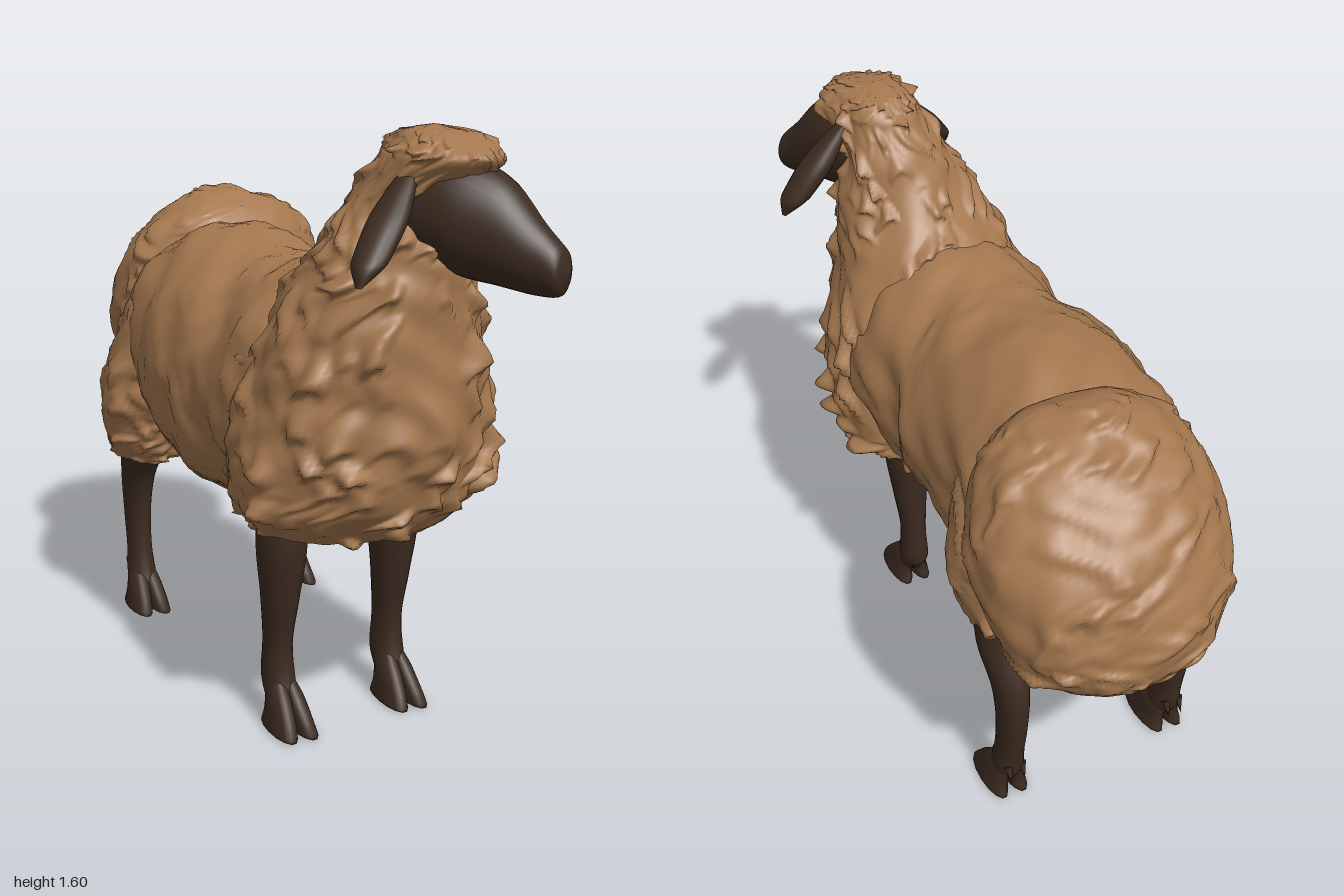
import * as THREE from 'three';

const wool = new THREE.MeshStandardMaterial({ color: 0xa5784f });
wool.name = 'brown wool';
const skin = new THREE.MeshStandardMaterial({ color: 0x3c2b20 });
skin.name = 'dark skin';

const DOWN = Math.PI / 2; // ring tilt for lofts that run downwards
const hash = (a, b, c = 0) => {
  const s = Math.sin(a * 127.1 + b * 311.7 + c * 74.7) * 43758.5453;
  return s - Math.floor(s);
};

// Irregular locks of wool, a few standing out, over broad soft lumps
const locks = (cols, rows, amp, lump, seed) => (u, v, p) => {
  const turn = u * Math.PI * 2;
  const cu = u * cols + cols + 0.5 * Math.sin(v * 19 + seed + Math.sin(turn * 2)) + 0.3 * Math.sin(v * 43 + turn * 3);
  const c = Math.floor(cu) % cols;
  const fu = cu - Math.floor(cu);
  const side = 1 - (2 * fu - 1) ** 2;
  const w = v * rows + hash(c, seed) * 5 + 0.4 * side + 0.5 * Math.sin(turn * 4 + seed);
  const r = Math.floor(w), f = w - r;
  const lock = (f < 0.8 ? f / 0.8 : (1 - f) / 0.2) * side * hash(c, r, seed) ** 2;
  const wave = Math.sin(p.x * 17 + seed) * Math.sin(p.y * 15 + 1) * Math.sin(p.z * 16 + 2)
    + 0.5 * Math.sin(p.x * 31 + p.y * 23 + seed) * Math.sin(p.z * 29 - p.y * 27);
  return amp * (lock - 0.15) * (0.5 + 0.7 * v) + lump * wave;
};

// Skin over elliptical rings [x, y, z, rx, r2], closed at both ends
function loft(name, material, rings, { tilt = DOWN, seg = 20, steps = 28, bump = null } = {}) {
  const centres = new THREE.CatmullRomCurve3(rings.map((r) => new THREE.Vector3(r[0], r[1], r[2])));
  const radii = new THREE.CatmullRomCurve3(rings.map((r) => new THREE.Vector3(r[3], r[4], 0)));
  const pos = [], index = [];
  const p = new THREE.Vector3();
  for (let i = 0; i <= steps; i++) {
    const v = i / steps;
    const c = centres.getPoint(v), r = radii.getPoint(v);
    for (let j = 0; j < seg; j++) {
      const a = (j / seg) * Math.PI * 2;
      const x = Math.cos(a), s = Math.sin(a);
      const rx = Math.max(r.x, 0.001), r2 = Math.max(r.y, 0.001);
      p.set(c.x + x * rx, c.y + s * r2 * Math.cos(tilt), c.z + s * r2 * Math.sin(tilt));
      if (bump) {
        const d = bump(j / seg, v, p) * Math.min(1, Math.min(rx, r2) / 0.08);
        p.x += x * d;
        p.y += s * d * Math.cos(tilt);
        p.z += s * d * Math.sin(tilt);
      }
      pos.push(p.x, p.y, p.z);
      if (i < steps) {
        const k = i * seg + j, n = i * seg + ((j + 1) % seg);
        index.push(k, n, n + seg, k, n + seg, k + seg);
      }
    }
  }
  const geo = new THREE.BufferGeometry();
  geo.setAttribute('position', new THREE.Float32BufferAttribute(pos, 3));
  geo.setIndex(index);
  geo.computeVertexNormals();
  const mesh = new THREE.Mesh(geo, material);
  mesh.name = name;
  return mesh;
}

// Leg from rings [y, z, rx, rz], ending in two toes and a pair of dewclaws
function leg(name, x, dz, rings, footZ) {
  const g = new THREE.Group();
  g.name = name;
  g.add(loft('shank', skin, rings.map(([y, z, rx, rz]) => [0, y, z, rx, rz])));
  for (const s of [-1, 1]) {
    g.add(loft('toe', skin, [
      [s * 0.014, 0.14, footZ - 0.05, 0.012, 0.02],
      [s * 0.019, 0.09, footZ - 0.025, 0.027, 0.055],
      [s * 0.025, 0.04, footZ, 0.03, 0.078],
      [s * 0.03, 0.004, footZ + 0.006, 0.031, 0.095],
      [s * 0.03, 0, footZ + 0.006, 0.001, 0.001],
    ], { seg: 14, steps: 16 }));
    const claw = new THREE.Mesh(new THREE.ConeGeometry(0.014, 0.05, 8), skin);
    claw.name = 'dewclaw';
    claw.position.set(s * 0.02, 0.11, footZ - 0.1);
    claw.rotation.x = Math.PI + 0.5;
    g.add(claw);
  }
  g.position.set(x, 0, dz);
  return g;
}

// Flat drooping ear between base and tip
function ear(name, base, tip) {
  const shape = [[0, 0.012, 0.02], [0.22, 0.034, 0.038], [0.5, 0.048, 0.052], [0.8, 0.042, 0.046], [1, 0.006, 0.012]];
  const rings = shape.map(([t, rx, rz]) => [...base.map((b, i) => b + (tip[i] - b) * t), rx, rz]);
  return loft(name, skin, rings, { seg: 16, steps: 20 });
}

export function createModel() {
  const model = new THREE.Group();
  model.name = 'sheep';

  // Barrel of the body
  model.add(loft('body', wool, [
    [0.02, 0.9, -0.7, 0.001, 0.001], [0.01, 0.9, -0.62, 0.18, 0.2], [-0.02, 0.9, -0.45, 0.29, 0.3],
    [-0.04, 0.86, -0.2, 0.325, 0.38], [-0.03, 0.845, 0, 0.325, 0.355], [-0.025, 0.85, 0.13, 0.3, 0.355],
    [-0.01, 0.87, 0.3, 0.315, 0.355], [0, 0.87, 0.52, 0.25, 0.28], [0, 0.87, 0.62, 0.001, 0.001],
  ], { tilt: 0, seg: 64, steps: 60, bump: locks(9, 6, 0.015, 0.014, 3) }));

  // Woolly crown, neck and chest in one fleece
  model.add(loft('neckAndChest', wool, [
    [0.08, 1.6, 0.65, 0.001, 0.001], [0.085, 1.58, 0.665, 0.09, 0.115], [0.08, 1.53, 0.68, 0.13, 0.178],
    [0.05, 1.42, 0.58, 0.15, 0.15], [0.03, 1.3, 0.57, 0.195, 0.195], [0.01, 1.19, 0.52, 0.24, 0.26],
    [0, 1, 0.475, 0.305, 0.31], [-0.01, 0.8, 0.45, 0.34, 0.32], [-0.01, 0.66, 0.42, 0.345, 0.305],
    [-0.01, 0.56, 0.4, 0.28, 0.235], [-0.01, 0.5, 0.39, 0.001, 0.001],
  ], { seg: 140, steps: 150, bump: locks(22, 17, 0.065, 0.012, 7) }));

  // Big round tail, leaning back
  const lean = 0.6, tail = [];
  for (let i = 0; i <= 14; i++) {
    const a = (i / 14) * Math.PI, h = 0.375 * Math.cos(a), s = Math.max(0, Math.sin(a)) ** 0.78;
    tail.push([0.065, 0.94 + h * Math.cos(lean), -0.685 + h * Math.sin(lean), 0.34 * s, 0.25 * s]);
  }
  model.add(loft('tail', wool, tail, {
    tilt: DOWN + lean, seg: 100, steps: 90, bump: locks(14, 9, 0.04, 0.01, 11),
  }));

  // Thighs
  for (const [name, x] of [['rightThigh', -0.265], ['leftThigh', 0.2]]) {
    const m = Math.sign(x);
    model.add(loft(name, wool, [
      [x - m * 0.1, 1.15, -0.36, 0.001, 0.001], [x - m * 0.05, 0.97, -0.39, 0.12, 0.17],
      [x, 0.75, -0.42, 0.14, 0.18], [x, 0.62, -0.45, 0.13, 0.165],
      [x, 0.52, -0.48, 0.1, 0.125], [x, 0.475, -0.475, 0.001, 0.001],
    ], { seg: 60, steps: 60, bump: locks(9, 6, 0.045, 0.012, 5 + m) }));
  }

  // Legs
  const fore = [[0.66, 0.38, 0.05, 0.06], [0.52, 0.38, 0.066, 0.08], [0.36, 0.37, 0.05, 0.064],
    [0.22, 0.355, 0.037, 0.054], [0.12, 0.36, 0.043, 0.06], [0.06, 0.39, 0.04, 0.05], [0.03, 0.4, 0.001, 0.001]];
  const hind = [[0.66, -0.46, 0.05, 0.08], [0.53, -0.505, 0.062, 0.09], [0.42, -0.56, 0.048, 0.075],
    [0.3, -0.573, 0.039, 0.062], [0.18, -0.56, 0.037, 0.054], [0.1, -0.545, 0.043, 0.056],
    [0.05, -0.52, 0.04, 0.05], [0.03, -0.51, 0.001, 0.001]];
  model.add(leg('rightForeleg', -0.205, 0.025, fore, 0.425));
  model.add(leg('leftForeleg', 0.145, -0.015, fore, 0.425));
  model.add(leg('rightHindLeg', -0.26, 0.01, hind, -0.505));
  model.add(leg('leftHindLeg', 0.255, -0.01, hind, -0.505));

  // Head, turned to its left
  const head = loft('head', skin, [
    [0, 0, -0.12, 0.001, 0.001], [0, 0, -0.08, 0.09, 0.09], [0, 0.005, 0, 0.12, 0.135],
    [0, -0.01, 0.1, 0.118, 0.142], [0, -0.04, 0.21, 0.088, 0.126], [0, -0.092, 0.3, 0.06, 0.084],
    [0, -0.115, 0.355, 0.046, 0.056], [0, -0.115, 0.375, 0.001, 0.001],
  ], { tilt: 0, seg: 32, steps: 36 });
  head.position.set(0.07, 1.4, 0.66);
  head.rotation.y = 0.5;
  model.add(head);

  // Ears
  model.add(ear('leftEar', [0.18, 1.515, 0.63], [0.38, 1.265, 0.63]));
  model.add(ear('rightEar', [-0.01, 1.515, 0.71], [-0.22, 1.265, 0.85]));

  return model;
}
